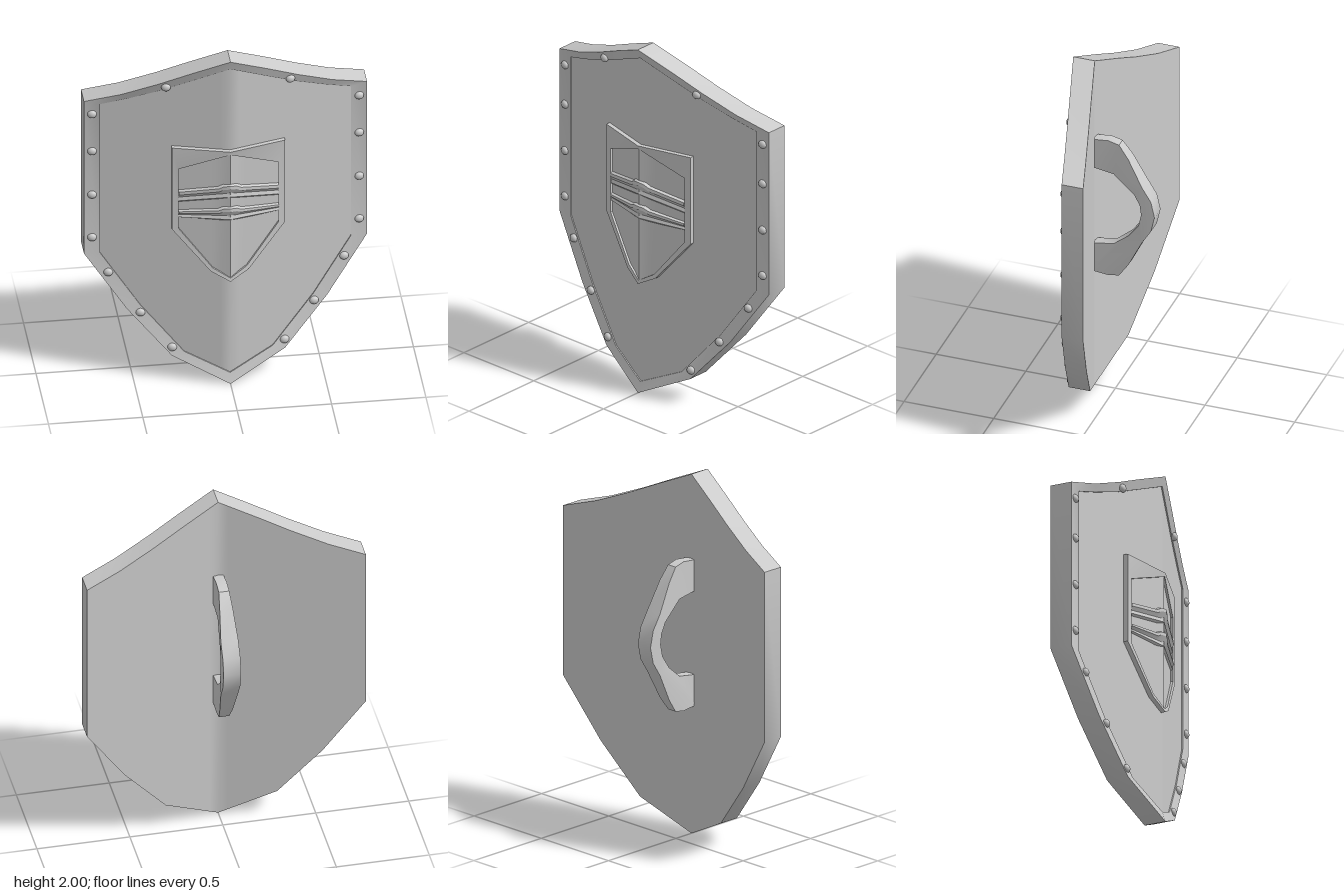
import * as THREE from 'three';
import { toCreasedNormals } from 'three/addons/utils/BufferGeometryUtils.js';

const material = new THREE.MeshStandardMaterial({ color: 0xcccccc });

// Front surface of the bent shield: two flat wings meeting at a centre crease
const frontZ = (x) => 0.235 - 0.272 * Math.abs(x);

// Half outlines, from top centre down the left side to bottom centre
const rimOuter = [[0, 2], [0.2, 1.91], [0.37, 1.83], [0.56, 1.75], [0.75, 1.69],
  [0.75, 0.745], [0.53, 0.42], [0.3, 0.15], [0, 0]];
const rimInner = [[0, 1.945], [0.19, 1.857], [0.36, 1.78], [0.53, 1.715], [0.665, 1.67],
  [0.665, 0.745], [0.46, 0.44], [0.235, 0.17], [0, 0.06]];
const emblemOuter = [[0, 1.44], [0.3, 1.44], [0.3, 0.935], [0.1, 0.69], [0, 0.635]];
const emblemInner = [[0, 1.42], [0.265, 1.31], [0.265, 0.94], [0.09, 0.71], [0, 0.655]];

// Full closed loop, counter-clockwise from bottom centre, at a depth offset
function loop(half, offset) {
  const mirrored = half.slice(1).map(([x, y]) => [-x, y]);
  return [...half.slice().reverse(), ...mirrored].map(([x, y]) => [x, y, frontZ(x) + offset]);
}

// Surface through rows of points
function grid(rows, crease = 0.6) {
  const n = rows[0].length;
  const index = [];
  for (let i = 0; i < rows.length - 1; i++) {
    for (let j = 0; j < n - 1; j++) {
      const a = i * n + j, d = a + n;
      index.push(a, a + 1, d + 1, a, d + 1, d);
    }
  }
  const geometry = new THREE.BufferGeometry();
  geometry.setAttribute('position', new THREE.Float32BufferAttribute(rows.flat(2), 3));
  geometry.setIndex(index);
  return toCreasedNormals(geometry.toNonIndexed(), crease);
}

// Height of a polyline of [x, y] points at x
function heightAt(line, x) {
  for (let i = 0; i < line.length - 1; i++) {
    const [x0, y0] = line[i], [x1, y1] = line[i + 1];
    if (x <= x1 + 1e-6) return y0 + (y1 - y0) * (x - x0) / (x1 - x0);
  }
  return line[line.length - 1][1];
}

// Filled sheet inside an outline, built in columns so the crease stays straight
function sheet(half, depth, back = false) {
  const maxX = Math.max(...half.map((p) => p[0]));
  const corner = half.findIndex((p) => p[0] === maxX);
  const top = half.slice(0, corner + 1);
  const bottom = half.slice(corner + 1).reverse();
  const right = [...new Set([...half.map((p) => p[0]), 0.05, 0.12])].sort((a, b) => a - b);
  const xs = [...right.slice(1).reverse().map((x) => -x), ...right];
  const row = (t) => xs.map((x) => {
    const y0 = heightAt(bottom, Math.abs(x)), y1 = heightAt(top, Math.abs(x));
    return [x, y0 + (y1 - y0) * t, frontZ(x) + depth(Math.abs(x))];
  });
  const rows = [row(0), row(0.5), row(1)];
  return grid(back ? rows.reverse() : rows);
}

export function createModel() {
  const model = new THREE.Group();
  const add = (name, geometry, parent = model) => {
    const mesh = new THREE.Mesh(geometry, material);
    mesh.name = name;
    parent.add(mesh);
    return mesh;
  };

  // Shield body: side walls, bevelled rim, recessed front panel and back
  add('rim', grid([loop(rimOuter, -0.12), loop(rimOuter, 0), loop(rimInner, -0.018), loop(rimInner, -0.025)]));
  add('frontPanel', sheet(rimInner, () => -0.025));
  add('backPanel', sheet(rimOuter, () => -0.12, true));

  // Domed rivets along the rim
  const rivets = new THREE.Group();
  rivets.name = 'rivets';
  model.add(rivets);
  const dome = new THREE.SphereGeometry(0.025, 12, 8);
  dome.scale(1, 0.9, 0.7);
  const spots = [[0.33, 1.81], [0.708, 1.61], [0.708, 1.38], [0.708, 1.11], [0.708, 0.845],
    [0.625, 0.635], [0.46, 0.4], [0.298, 0.198]];
  for (const side of [-1, 1]) {
    for (const [x, y] of spots) {
      const rivet = add('rivet', dome, rivets);
      rivet.position.set(side * x, y, frontZ(x) - 0.008);
      rivet.rotation.y = side * 0.15;
    }
  }

  // Emblem: raised frame around a helmet-like face with a slight centre ridge
  const emblem = new THREE.Group();
  emblem.name = 'emblem';
  model.add(emblem);
  add('emblemFrame', grid([loop(emblemOuter, -0.035), loop(emblemOuter, 0),
    loop(emblemInner, -0.004), loop(emblemInner, -0.02)]), emblem);
  add('emblemFace', sheet(emblemInner, (x) => -0.017 + 0.008 * Math.max(0, 1 - x / 0.05)), emblem);

  // Two chevron visor bands, each with a small knob at the centre
  const band = (topY, topSlope, bottomY, bottomSlope) => {
    const xs = [-0.265, -0.06, -0.035, 0, 0.035, 0.06, 0.265];
    const section = [[0, -0.022], [0.08, 0], [0.3, 0.001], [0.55, -0.012], [0.8, -0.006], [1, -0.022]];
    const rows = section.map(([t, dz]) => xs.map((x) => {
      const ax = Math.abs(x);
      const knob = ax < 0.05 && t < 0.5 ? 1 : 0;
      const top = topY - topSlope * ax, bottom = bottomY - bottomSlope * ax;
      return [x, top + (bottom - top) * t + knob * 0.012, frontZ(x) + dz + knob * 0.004];
    }));
    add('visorBand', grid(rows.reverse(), 0.5), emblem);
  };
  band(1.225, 0.19, 1.14, 0.17);
  band(1.085, 0.13, 1.0, 0);

  // Handle: side profile as [z, y], slimmer where it meets the back
  const profile = [[0.125, 1.53], [0.03, 1.54], [-0.03, 1.525], [-0.085, 1.45], [-0.165, 1.3], [-0.215, 1.22],
    [-0.235, 1.13], [-0.215, 1.04], [-0.165, 0.96], [-0.085, 0.8], [-0.03, 0.72], [0.03, 0.71], [0.125, 0.72],
    [0.125, 0.89], [0, 0.91], [-0.085, 0.98], [-0.145, 1.06], [-0.16, 1.13], [-0.152, 1.19],
    [-0.12, 1.245], [-0.085, 1.27], [0, 1.34], [0.125, 1.36]];
  const handle = new THREE.ExtrudeGeometry(
    new THREE.Shape(profile.map(([z, y]) => new THREE.Vector2(-z, y))), { depth: 2, bevelEnabled: false });
  handle.translate(0, 0, -1).rotateY(Math.PI / 2);
  const pos = handle.attributes.position;
  for (let i = 0; i < pos.count; i++) {
    const wide = THREE.MathUtils.smoothstep(-pos.getZ(i), 0.03, 0.16);
    pos.setX(i, pos.getX(i) * (0.028 + 0.019 * wide));
  }
  add('handle', toCreasedNormals(handle, 0.6));

  return model;
}
